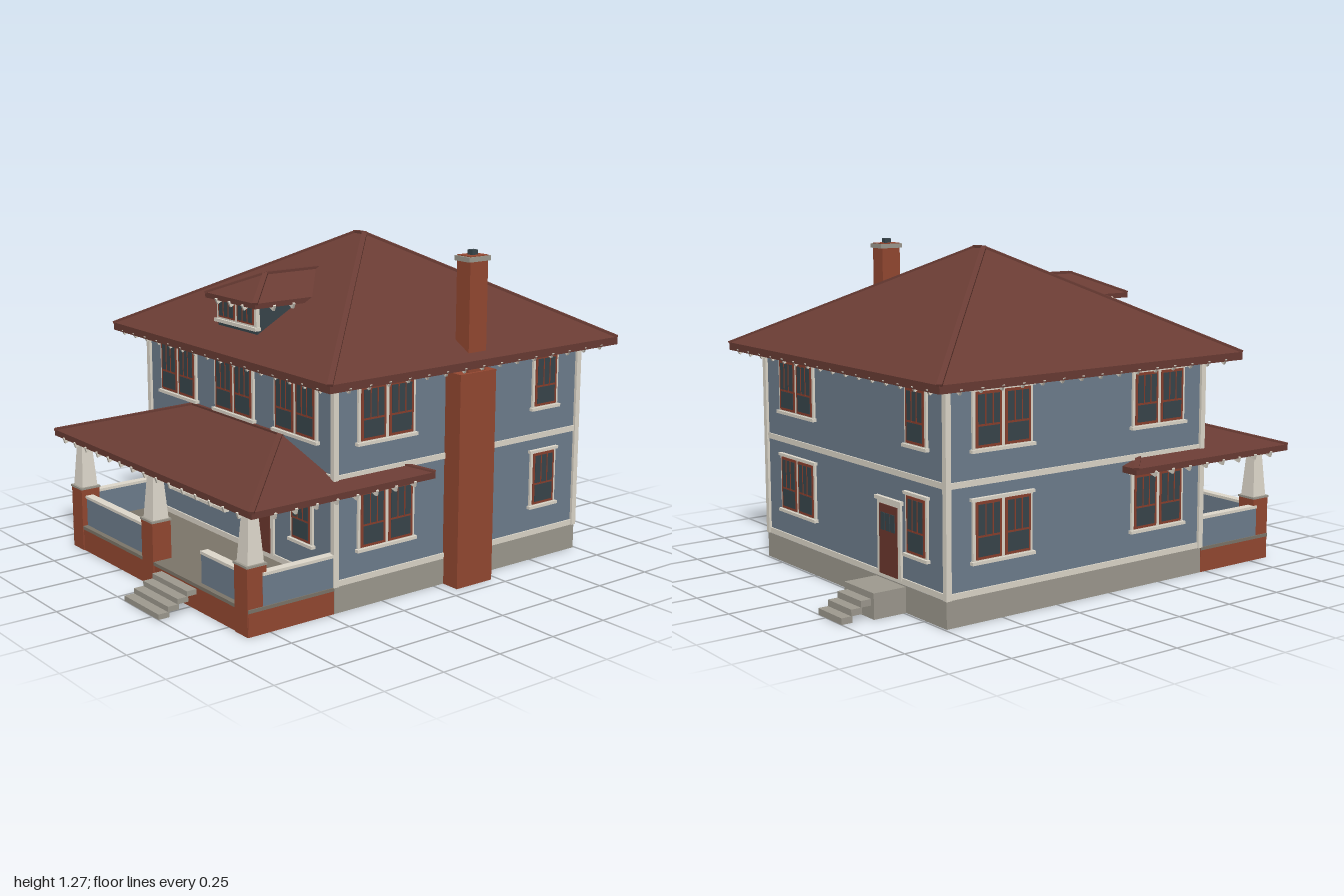
import * as THREE from 'three';

const mat = (name, color) => {
  const m = new THREE.MeshStandardMaterial({ color });
  m.name = name;
  return m;
};

export function createModel() {
  const siding = mat('siding blue', 0x6f7f8f), cream = mat('cream trim', 0xe0dacd);
  const brick = mat('brick', 0x964932), shingle = mat('shingle', 0x6a3c34);
  const concrete = mat('concrete', 0x9f9b90), glass = mat('dark glass', 0x39464c);
  const sashRed = mat('sash red', 0x8a402e), doorBrown = mat('door brown', 0x6e392e);
  const floorGrey = mat('porch floor', 0x7d766a);

  const house = new THREE.Group();
  house.name = 'house';
  const group = (name, parent = house) => {
    const g = new THREE.Group();
    g.name = name;
    parent.add(g);
    return g;
  };
  const add = (name, geo, m, parent = house) => {
    const mesh = new THREE.Mesh(geo, m);
    mesh.name = name;
    parent.add(mesh);
    return mesh;
  };
  // Box given by its limits
  const box = (name, m, x0, x1, y0, y1, z0, z1, parent) => {
    const mesh = add(name, new THREE.BoxGeometry(x1 - x0, y1 - y0, z1 - z0), m, parent);
    mesh.position.set((x0 + x1) / 2, (y0 + y1) / 2, (z0 + z1) / 2);
    return mesh;
  };
  // Flat polygons, fanned into triangles
  const polys = (faces) => {
    const p = [];
    for (const f of faces)
      for (let i = 1; i < f.length - 1; i++) p.push(...f[0], ...f[i], ...f[i + 1]);
    const g = new THREE.BufferGeometry();
    g.setAttribute('position', new THREE.Float32BufferAttribute(p, 3));
    g.computeVertexNormals();
    return g;
  };
  const ring = (hx, hz, y) => [[-hx, y, hz], [hx, y, hz], [hx, y, -hz], [-hx, y, -hz]];
  // Upright faces between two rings
  const band = (b, t) => b.map((_, i) => [b[i], b[(i + 1) % 4], t[(i + 1) % 4], t[i]]);

  // Hipped roof, ridge along local x from ra to rb, with sloping eaves and rafter tails
  function hipRoof(name, { hx, hz, y0, y1, yp, ra, rb, inset, tails }) {
    const g = group(name), slope = (yp - y1) / hz;
    const b = ring(hx, hz, y0), e = ring(hx, hz, y1), A = [ra, yp, 0], B = [rb, yp, 0];
    const n = ring(hx - inset, hz - inset, y0 + inset * slope);
    add('roofShell', polys([[e[0], e[1], B, A], [e[1], e[2], B], [e[2], e[3], A, B], [e[3], e[0], A],
      ...band(b, e)]), shingle, g);
    add('soffit', polys([...band(b, n).map(([p, q, r, s]) => [p, s, r, q]), [n[3], n[2], n[1], n[0]]]), cream, g);
    // Caps along the hips and the ridge
    for (const [p, q] of [[e[0], A], [e[3], A], [e[1], B], [e[2], B], [A, B]]) {
      const a = new THREE.Vector3(...p), c = new THREE.Vector3(...q);
      const cap = add('ridgeCap', new THREE.BoxGeometry(0.02, 0.01, a.distanceTo(c)), shingle, g);
      cap.position.copy(a).add(c).multiplyScalar(0.5);
      cap.lookAt(c);
    }
    // Tails follow the slope of the eaves
    const sides = [[hx, hz], [hz, hx], [hx, hz], [hz, hx]];
    for (const i of tails) {
      const [half, out] = sides[i], row = group('rafterTails', g);
      row.rotation.y = i * Math.PI / 2;
      const count = Math.floor((half * 2 - 0.12) / 0.088);
      for (let k = 0; k <= count; k++) {
        const tail = add('rafterTail', new THREE.BoxGeometry(0.01, 0.022, inset), cream, row);
        tail.position.set((k - count / 2) * 0.088, y0 - 0.006 + slope * inset / 2, out + 0.004 - inset / 2);
        tail.rotation.x = Math.atan(slope);
      }
    }
    return g;
  }

  // Open-bottomed foundation, body and trim
  add('foundation', polys(band(ring(0.625, 0.606, 0), ring(0.625, 0.606, 0.1))), concrete)
    .position.z = -0.136;
  box('walls', siding, -0.62, 0.62, 0.11, 0.905, -0.735, 0.465);
  for (const [y0, y1] of [[0.1, 0.122], [0.49, 0.512]])
    box('trimBand', cream, -0.626, 0.626, y0, y1, -0.741, 0.471);
  for (const x of [-0.62, 0.62])
    for (const z of [-0.735, 0.465])
      box('cornerBoard', cream, x - 0.011, x + 0.011, 0.1, 0.89, z - 0.011, z + 0.011);

  // Windows and doors, built facing local +z
  function windowUnit(wall, cx, y0, y1, n) {
    const g = group('window', wall), pitch = 0.128, half = n * pitch / 2 + 0.003;
    g.position.x = cx;
    box('casing', cream, -half, half, y0 - 0.01, y1 + 0.01, -0.005, 0.009, g);
    box('header', cream, -half - 0.008, half + 0.008, y1 + 0.003, y1 + 0.014, -0.005, 0.015, g);
    box('sill', cream, -half - 0.008, half + 0.008, y0 - 0.016, y0 - 0.004, -0.005, 0.018, g);
    const rail = y0 + (y1 - y0) * 0.4;
    for (let i = 0; i < n; i++) {
      const x = (i - (n - 1) / 2) * pitch;
      box('sash', sashRed, x - 0.056, x + 0.056, y0, y1, 0, 0.012, g);
      box('lowerPane', glass, x - 0.046, x + 0.046, y0 + 0.01, rail - 0.004, 0.008, 0.0135, g);
      box('upperPane', glass, x - 0.046, x + 0.046, rail + 0.004, y1 - 0.01, 0.008, 0.0135, g);
      for (const s of [-1, 1])
        box('muntin', sashRed, x + s * 0.016 - 0.002, x + s * 0.016 + 0.002, rail, y1 - 0.01, 0.008, 0.0155, g);
    }
  }
  function door(wall, cx, y0, y1, hw) {
    const g = group('door', wall);
    g.position.x = cx;
    box('doorCasing', cream, -hw - 0.018, hw + 0.018, y0 - 0.005, y1 + 0.018, -0.005, 0.009, g);
    box('doorHeader', cream, -hw - 0.026, hw + 0.026, y1 + 0.012, y1 + 0.026, -0.005, 0.015, g);
    box('doorPanel', doorBrown, -hw, hw, y0, y1, 0, 0.012, g);
    const w = (hw * 2 - 0.02) / 3;
    for (let i = -1; i <= 1; i++)
      box('doorPane', glass, i * w - w / 2 + 0.003, i * w + w / 2 - 0.003, y1 - 0.095, y1 - 0.03, 0.008, 0.0145, g);
  }
  const wall = (name, x, z, angle) => {
    const g = group(name);
    g.position.set(x, 0, z);
    g.rotation.y = angle;
    return g;
  };
  const UP = [0.622, 0.818], LOW = [0.227, 0.433];
  const front = wall('frontWall', 0, 0.465, 0);
  for (const x of [-0.395, 0, 0.395]) windowUnit(front, x, ...UP, 2);
  windowUnit(front, -0.26, 0.227, 0.425, 3);
  windowUnit(front, 0.43, 0.227, 0.425, 1);
  door(front, 0.172, 0.122, 0.38, 0.063);
  const right = wall('chimneySideWall', 0.62, 0, Math.PI / 2);
  const left = wall('plainSideWall', -0.62, 0, -Math.PI / 2);
  const back = wall('backWall', 0, -0.735, Math.PI);
  for (const span of [UP, LOW]) {
    windowUnit(right, -0.235, ...span, 2);
    windowUnit(right, 0.555, ...span, 1);
    windowUnit(left, 0.235, ...span, 2);
    windowUnit(left, -0.5, ...span, 2);
    windowUnit(back, -0.375, ...span, 2);
    windowUnit(back, 0.445, ...span, 1);
  }
  door(back, 0.27, 0.115, 0.375, 0.058);

  // Main roof and porch roof
  hipRoof('mainRoof', { hx: 0.73, hz: 0.705, y0: 0.842, y1: 0.872, yp: 1.262, ra: -0.028, rb: 0.028,
    inset: 0.115, tails: [0, 1, 2, 3] }).position.z = -0.135;
  hipRoof('porchRoof', { hx: 0.697, hz: 0.405, y0: 0.45, y1: 0.474, yp: 0.598, ra: -0.295, rb: 0.295,
    inset: 0.065, tails: [0, 1, 3] }).position.z = 0.468;

  // Dormer
  const dormer = group('dormer');
  box('dormerBody', glass, -0.13, 0.13, 0.9, 1.052, 0.1, 0.45, dormer);
  box('dormerCasing', cream, -0.132, 0.132, 0.965, 1.05, 0.44, 0.456, dormer);
  box('dormerSill', cream, -0.138, 0.138, 0.953, 0.966, 0.44, 0.465, dormer);
  for (const s of [-1, 1]) {
    const x = s * 0.063;
    box('dormerSash', sashRed, x - 0.055, x + 0.055, 0.973, 1.041, 0.45, 0.459, dormer);
    box('dormerPane', glass, x - 0.047, x + 0.047, 0.98, 1.036, 0.455, 0.461, dormer);
    for (const t of [-1, 1])
      box('dormerMuntin', sashRed, x + t * 0.016 - 0.002, x + t * 0.016 + 0.002, 0.98, 1.036, 0.455, 0.463, dormer);
  }
  const dormerRoof = hipRoof('dormerRoof', { hx: 0.2175, hz: 0.167, y0: 1.043, y1: 1.063, yp: 1.142,
    ra: -0.2175, rb: 0.0525, inset: 0.035, tails: [0, 1, 2] });
  dormerRoof.position.z = 0.2675;
  dormerRoof.rotation.y = -Math.PI / 2;

  // Chimney
  const chimney = group('chimney');
  box('chimneyBase', brick, 0.61, 0.702, 0, 0.82, -0.222, -0.047, chimney);
  box('chimneyStack', brick, 0.62, 0.692, 0.82, 1.247, -0.178, -0.092, chimney);
  box('chimneyCap', concrete, 0.617, 0.697, 1.226, 1.244, -0.187, -0.083, chimney);
  box('flue', glass, 0.643, 0.669, 1.24, 1.265, -0.149, -0.121, chimney);

  // Porch: hollow brick base, floor, parapets, piers and columns
  const porch = group('porch');
  box('porchFrontBase', brick, -0.625, 0.625, 0, 0.095, 0.815, 0.84, porch);
  box('porchFloor', floorGrey, -0.628, 0.628, 0.088, 0.101, 0.472, 0.843, porch);
  box('porchBackBase', brick, -0.624, 0.624, 0, 0.088, 0.471, 0.485, porch);
  for (const s of [-1, 1]) {
    const c = s * 0.6125;
    box('porchSideBase', brick, c - 0.0125, c + 0.0125, 0, 0.095, 0.471, 0.82, porch);
    box('sideParapet', siding, c - 0.012, c + 0.012, 0.1, 0.213, 0.465, 0.78, porch);
    box('sideParapetCap', cream, c - 0.017, c + 0.017, 0.213, 0.224, 0.465, 0.78, porch);
    box('sideBeam', cream, s * 0.58 - 0.022, s * 0.58 + 0.022, 0.43, 0.47, 0.465, 0.8, porch);
  }
  for (const [x0, x1] of [[-0.55, -0.07], [0.3, 0.55]]) {
    box('frontParapet', siding, x0, x1, 0.1, 0.213, 0.798, 0.822, porch);
    box('frontParapetCap', cream, x0, x1, 0.213, 0.224, 0.793, 0.827, porch);
  }
  box('frontBeam', cream, -0.635, 0.635, 0.43, 0.468, 0.778, 0.822, porch);
  for (const x of [-0.584, -0.04, 0.584]) {
    box('pier', brick, x - 0.04, x + 0.04, 0, 0.25, 0.764, 0.844, porch);
    box('pierCap', concrete, x - 0.043, x + 0.043, 0.25, 0.258, 0.761, 0.847, porch);
    const col = new THREE.CylinderGeometry(0.021 * Math.SQRT2, 0.034 * Math.SQRT2, 0.175, 4, 1)
      .toNonIndexed().rotateY(Math.PI / 4);
    col.computeVertexNormals();
    add('column', col, cream, porch).position.set(x, 0.345, 0.803);
  }

  // Front steps, then back landing and steps
  const frontSteps = group('frontSteps');
  for (let i = 0; i < 4; i++)
    box('step', concrete, 0.053, 0.292, i * 0.02, (i + 1) * 0.02, 0.955 - i * 0.04, 1 - i * 0.04, frontSteps);
  const backSteps = group('backSteps');
  box('landing', concrete, -0.375, -0.18, 0, 0.096, -0.878, -0.735, backSteps);
  for (let i = 0; i < 3; i++)
    box('step', concrete, -0.357, -0.2, i * 0.024, (i + 1) * 0.024, -1 + i * 0.04, -0.955 + i * 0.04, backSteps);

  return house;
}
